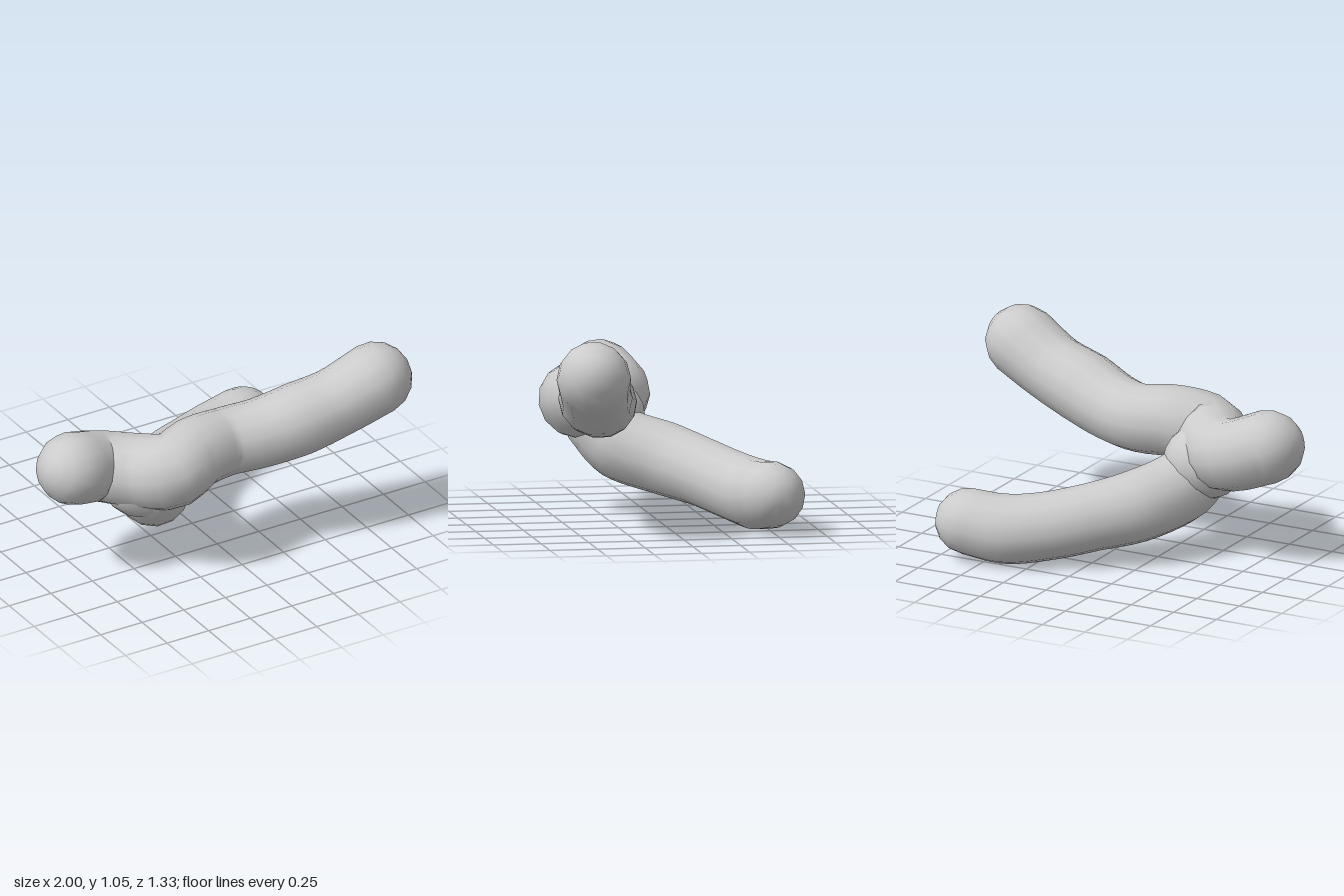
import * as THREE from 'three';
import { mergeVertices } from 'three/addons/utils/BufferGeometryUtils.js';

const SIDES = 14;
const STEPS = 36;
const CAP = 4;

// Round-ended tube of varying thickness through stations [x, y, z, radius].
function limbGeometry(stations) {
  const curve = new THREE.CatmullRomCurve3(stations.map(([x, y, z]) => new THREE.Vector3(x, y, z)));
  const frames = curve.computeFrenetFrames(STEPS);
  const radiusAt = (u) => {
    const s = curve.getUtoTmapping(u) * (stations.length - 1);
    const i = Math.min(Math.floor(s), stations.length - 2);
    return THREE.MathUtils.lerp(stations[i][3], stations[i + 1][3], s - i);
  };

  // Each ring: frame index, shift along the path, radius
  const rings = [];
  const r0 = radiusAt(0), r1 = radiusAt(1);
  for (let k = CAP; k > 0; k--) {
    const a = (k / CAP) * Math.PI / 2;
    rings.push([0, -r0 * Math.sin(a), r0 * Math.cos(a)]);
  }
  for (let i = 0; i <= STEPS; i++) rings.push([i, 0, radiusAt(i / STEPS)]);
  for (let k = 1; k <= CAP; k++) {
    const a = (k / CAP) * Math.PI / 2;
    rings.push([STEPS, r1 * Math.sin(a), r1 * Math.cos(a)]);
  }

  const positions = [], index = [];
  rings.forEach(([f, shift, r], i) => {
    const centre = curve.getPointAt(f / STEPS).addScaledVector(frames.tangents[f], shift);
    for (let j = 0; j < SIDES; j++) {
      const a = (j / SIDES) * Math.PI * 2;
      const p = centre.clone()
        .addScaledVector(frames.normals[f], r * Math.cos(a))
        .addScaledVector(frames.binormals[f], r * Math.sin(a));
      positions.push(p.x, p.y, p.z);
      if (i < rings.length - 1) {
        const p0 = i * SIDES + j, p1 = i * SIDES + (j + 1) % SIDES;
        index.push(p0, p1, p0 + SIDES, p1, p1 + SIDES, p0 + SIDES);
      }
    }
  });
  const geometry = new THREE.BufferGeometry();
  geometry.setAttribute('position', new THREE.Float32BufferAttribute(positions, 3));
  geometry.setIndex(index);
  const merged = mergeVertices(geometry, 1e-5);
  merged.computeVertexNormals();
  return merged;
}

export function createModel() {
  const group = new THREE.Group();
  group.name = 'forkedBranch';
  const material = new THREE.MeshStandardMaterial({ color: 0xcccccc });
  const add = (name, geometry) => {
    const mesh = new THREE.Mesh(geometry, material);
    mesh.name = name;
    group.add(mesh);
    return mesh;
  };

  // Stub on the right, bending forward into the long rising branch
  add('upperBranch', limbGeometry([
    [-0.81, 0.65, 0.155, 0.192],
    [-0.63, 0.59, 0.11, 0.187],
    [-0.48, 0.57, 0.21, 0.195],
    [-0.34, 0.60, 0.36, 0.2],
    [-0.18, 0.64, 0.325, 0.188],
    [0.02, 0.635, 0.295, 0.178],
    [0.2, 0.655, 0.34, 0.182],
    [0.4, 0.71, 0.4, 0.192],
    [0.6, 0.77, 0.44, 0.182],
    [0.81, 0.87, 0.485, 0.192],
  ]));

  // Branch falling away behind
  add('lowerBranch', limbGeometry([
    [-0.38, 0.46, 0.24, 0.17],
    [-0.32, 0.37, 0.14, 0.19],
    [-0.18, 0.3, -0.08, 0.19],
    [0, 0.255, -0.23, 0.178],
    [0.2, 0.21, -0.355, 0.178],
    [0.4, 0.188, -0.445, 0.183],
    [0.595, 0.21, -0.488, 0.174],
  ]));

  // Swelling where the branches join
  const joint = add('joint', new THREE.SphereGeometry(1, SIDES, 10));
  joint.scale.set(0.22, 0.2, 0.21);
  joint.position.set(-0.42, 0.5, 0.2);

  return group;
}
